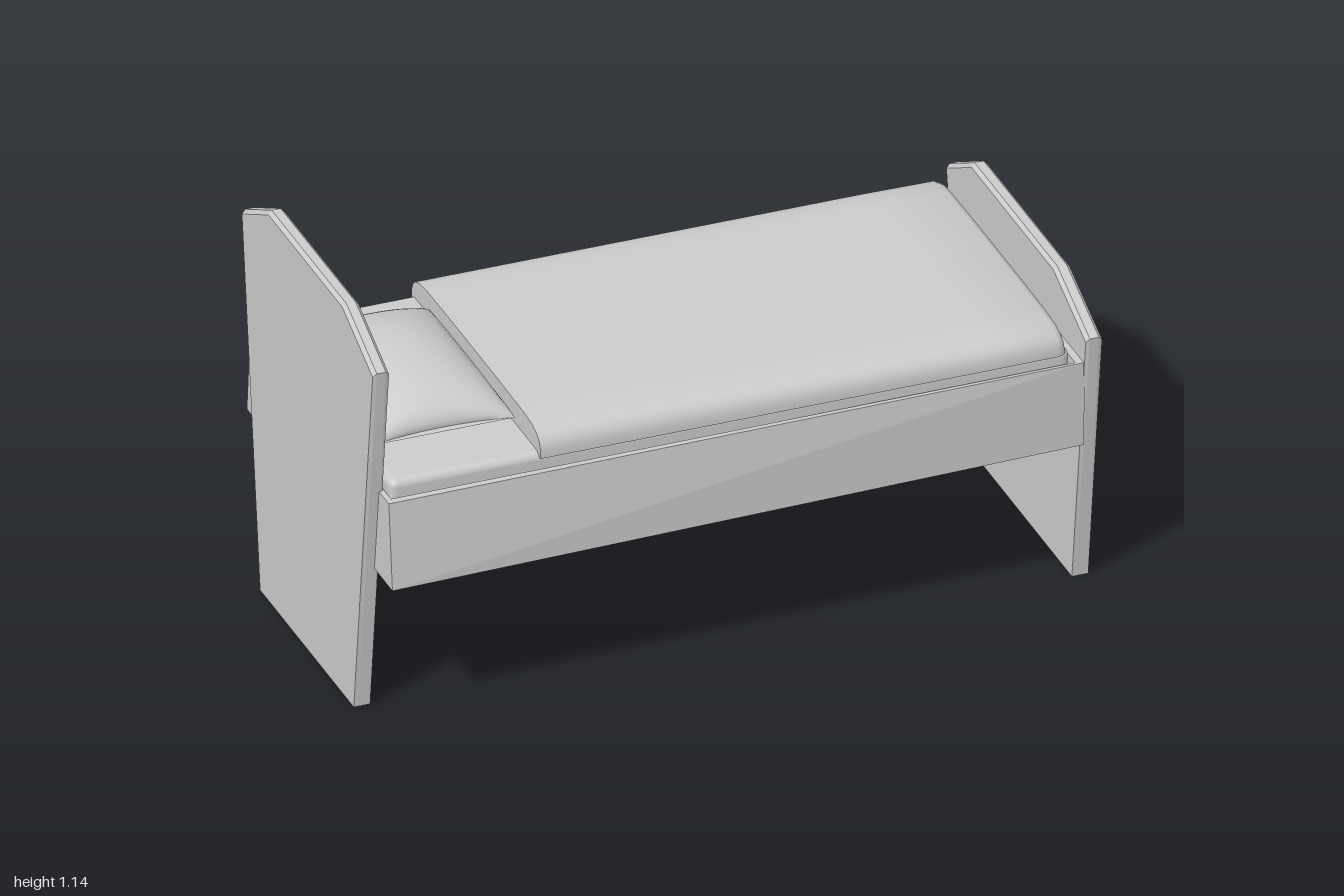
import * as THREE from 'three';
import { toCreasedNormals } from 'three/addons/utils/BufferGeometryUtils.js';
import { RoundedBoxGeometry } from 'three/addons/geometries/RoundedBoxGeometry.js';

const material = new THREE.MeshStandardMaterial({ color: 0xcccccc });

// Skins a list of equal-length rings of [x, y, z] points and caps both ends.
function loft(rings, crease = 0.5) {
  const pos = [];
  const tri = (a, b, c) => pos.push(...a, ...b, ...c);
  const n = rings[0].length;
  for (let i = 0; i < rings.length - 1; i++) {
    for (let j = 0; j < n; j++) {
      const k = (j + 1) % n;
      tri(rings[i][j], rings[i][k], rings[i + 1][k]);
      tri(rings[i][j], rings[i + 1][k], rings[i + 1][j]);
    }
  }
  const first = rings[0], last = rings[rings.length - 1];
  for (let j = 1; j < n - 1; j++) {
    tri(first[0], first[j + 1], first[j]);
    tri(last[0], last[j], last[j + 1]);
  }
  const geometry = new THREE.BufferGeometry();
  geometry.setAttribute('position', new THREE.Float32BufferAttribute(pos, 3));
  return toCreasedNormals(geometry, crease);
}

// Places a [z, y] outline at a given x.
const atX = (outline, x) => outline.map(([z, y]) => [x, y, z]);

// Pulls the upper points of an outline inward, for the eased top edge.
const ease = (outline, d) => outline.map(([z, y]) => (y > 0.1 ? [z - Math.sign(z) * d * 0.4, y - d] : [z, y]));

// Board rings across the thickness, with the top edges eased on both faces.
function boardRings(outline, x0, x1) {
  const d = 0.01;
  const eased = ease(outline, d);
  return [atX(eased, x0), atX(outline, x0 + d), atX(outline, x1 - d), atX(eased, x1)];
}

export function createModel() {
  const bed = new THREE.Group();
  bed.name = 'bed';
  const add = (name, geometry) => {
    const mesh = new THREE.Mesh(geometry, material);
    mesh.name = name;
    bed.add(mesh);
    return mesh;
  };

  // Tall tapered headboard
  const head = [[0.325, 0], [-0.325, 0], [-0.455, 1.05], [-0.27, 1.145], [0.25, 1.145], [0.46, 1.05]];
  add('headboard', loft(boardRings(head, -1, -0.955), 0.2));

  // Lower footboard with a recessed panel on its outer face
  const foot = [[0.375, 0], [-0.375, 0], [-0.5, 0.75], [-0.325, 0.845], [0.25, 0.845], [0.475, 0.75]];
  const panel = [[0.34, 0.055], [-0.34, 0.055], [-0.43, 0.705], [-0.295, 0.78], [0.225, 0.78], [0.41, 0.705]];
  const panelInner = [[0.331, 0.064], [-0.331, 0.064], [-0.419, 0.699], [-0.291, 0.771], [0.221, 0.771], [0.4, 0.699]];
  add('footboard', loft([
    ...boardRings(foot, 0.955, 1),
    atX(panel, 1),
    atX(panelInner, 0.986),
  ], 0.2));

  // Tray-shaped base whose sides flare toward the head end
  const tray = (y, x0, x1, headL, footL, headR, footR) =>
    [[x0, y, headL], [x1, y, footL], [x1, y, footR], [x0, y, headR]];
  add('bedBase', loft([
    tray(0.43, -0.965, 0.957, 0.505, 0.455, -0.505, -0.47),
    tray(0.673, -0.965, 0.957, 0.48, 0.457, -0.483, -0.472),
    tray(0.673, -0.95, 0.935, 0.458, 0.448, -0.46, -0.455),
    tray(0.63, -0.95, 0.935, 0.458, 0.448, -0.46, -0.455),
  ], 0.1));

  // Mattress
  const mattress = add('mattress', new RoundedBoxGeometry(1.87, 0.1, 0.885, 3, 0.022));
  mattress.position.set(-0.01, 0.66, -0.003);

  // Blanket with softly rounded long edges
  const half = [[0.448, 0.698], [0.448, 0.72], [0.44, 0.742], [0.422, 0.758], [0.39, 0.769], [0.33, 0.774], [0.15, 0.776]];
  const section = [...half, ...half.slice().reverse().map(([z, y]) => [-z, y])].reverse();
  const blanketRing = (x, s) => section.map(([z, y]) => [x, 0.698 + (y - 0.698) * s, z * (0.9 + 0.1 * s)]);
  add('blanket', loft([
    blanketRing(-0.535, 1),
    blanketRing(0.7, 1),
    blanketRing(0.89, 0.97),
    blanketRing(0.905, 0.88),
    blanketRing(0.911, 0.7),
  ], 0.8));

  // Plump pillow with pinched sides and pointed corners
  const pillowRings = [];
  const steps = 24, around = 32;
  for (let i = 0; i <= steps; i++) {
    const v = -Math.cos((i / steps) * Math.PI);
    const puff = Math.max(0.02, Math.pow(1 - v * v, 0.45));
    const width = 0.195 - 0.012 * (1 - v * v);
    const ring = [];
    for (let j = 0; j < around; j++) {
      const a = (j / around) * Math.PI * 2;
      const s = Math.sin(a);
      const height = s > 0 ? 0.11 * Math.pow(s, 0.9) : 0.032 * s;
      ring.push([-0.74 + width * Math.cos(a), 0.743 + height * puff, 0.298 * v * (1 - 0.06 * s * s)]);
    }
    pillowRings.push(ring);
  }
  add('pillow', loft(pillowRings, 0.9));

  return bed;
}
